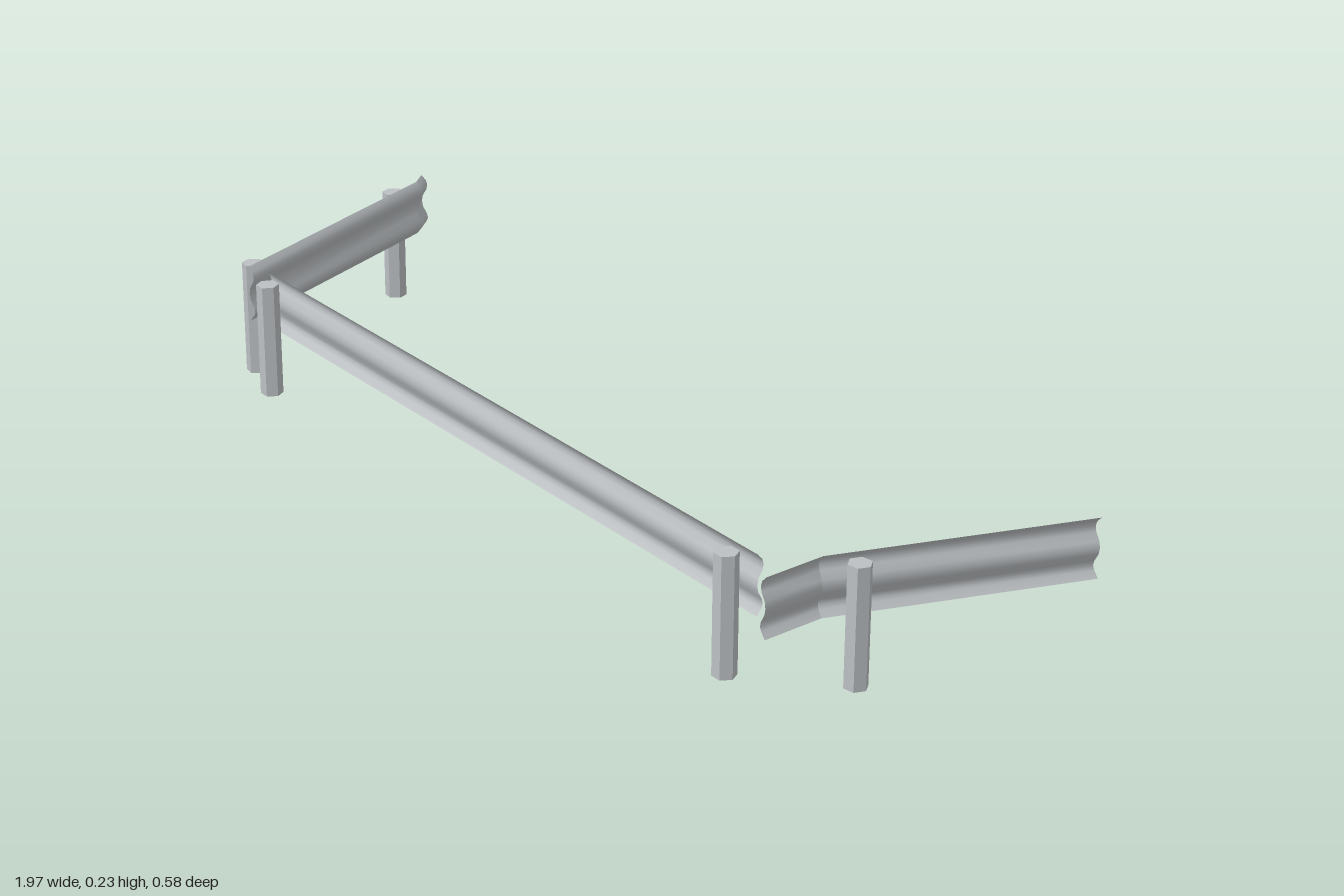
import * as THREE from 'three';

const steel = new THREE.MeshStandardMaterial({ color: 0xbcc0c3, side: THREE.DoubleSide });
steel.name = 'galvanised steel';

// Corrugated cross-section: [offset toward the posts, height]
const PROFILE = [
  [0.006, 0.235], [-0.003, 0.225], [-0.006, 0.215], [-0.004, 0.205], [0.004, 0.191],
  [0.006, 0.179], [0.004, 0.167], [-0.004, 0.152], [-0.006, 0.143], [-0.003, 0.135],
  [0.006, 0.123],
];

const normalOf = (a, b) => new THREE.Vector2(a[1] - b[1], b[0] - a[0]).normalize();

// Sweep the cross-section along a ground path of [x, z, optional cut direction],
// mitred at bends; smooth across the corrugation, sharp at the bends
function beam(name, path) {
  const last = path.length - 1;
  const rings = path.map((p, i) => {
    const before = normalOf(path[Math.max(i - 1, 0)], path[Math.max(i, 1)]);
    const after = normalOf(path[Math.min(i, last - 1)], path[Math.min(i + 1, last)]);
    const m = p[2] ? p[2].clone() : before.clone().add(after).normalize();
    m.divideScalar(m.dot(before));
    return PROFILE.map(([o, y]) => [p[0] + m.x * o, y, p[1] + m.y * o]);
  });
  const pos = [], index = [], n = PROFILE.length;
  for (let i = 0; i < last; i++) {
    const base = pos.length / 3;
    pos.push(...rings[i].flat(), ...rings[i + 1].flat());
    for (let j = 0; j < n - 1; j++) {
      const a = base + j, d = a + n;
      index.push(a, a + 1, d + 1, a, d + 1, d);
    }
  }
  const geo = new THREE.BufferGeometry();
  geo.setAttribute('position', new THREE.Float32BufferAttribute(pos, 3));
  geo.setIndex(index);
  geo.computeVertexNormals();
  const mesh = new THREE.Mesh(geo, steel);
  mesh.name = name;
  return mesh;
}

// Hexagonal post with flat faces, one of them against its beam
const postGeo = new THREE.CylinderGeometry(0.0217, 0.0217, 0.225, 6).toNonIndexed();
postGeo.computeVertexNormals();
postGeo.rotateY(Math.PI / 6);
function post(x, z, angle) {
  const mesh = new THREE.Mesh(postGeo, steel);
  mesh.name = 'post';
  mesh.position.set(x, 0.1125, z);
  mesh.rotation.y = angle;
  return mesh;
}

// A barrier is one beam plus its posts
function barrier(name, path, angle, posts) {
  const group = new THREE.Group();
  group.name = name;
  group.add(beam('corrugatedBeam', path));
  for (const [x, z] of posts) group.add(post(x, z, angle));
  return group;
}

export function createModel() {
  const model = new THREE.Group();
  model.name = 'guardRail';
  const squareCut = new THREE.Vector2(1, 0);
  model.add(
    barrier('middleBarrier', [[-0.745, 0.24], [0.745, 0.24]], 0,
      [[-0.705, 0.267], [0.691, 0.267]]),
    barrier('rightBarrier', [[-0.992, -0.286], [-0.965, -0.255], [-0.776, 0.26]],
      -Math.PI / 2 + 0.355, [[-0.973, -0.197], [-0.816, 0.231]]),
    barrier('leftBarrier', [[0.808, 0.286], [0.805, 0.165], [0.97, -0.287, squareCut]],
      Math.PI / 2 - 0.355, [[0.849, 0.121]]),
  );
  return model;
}
